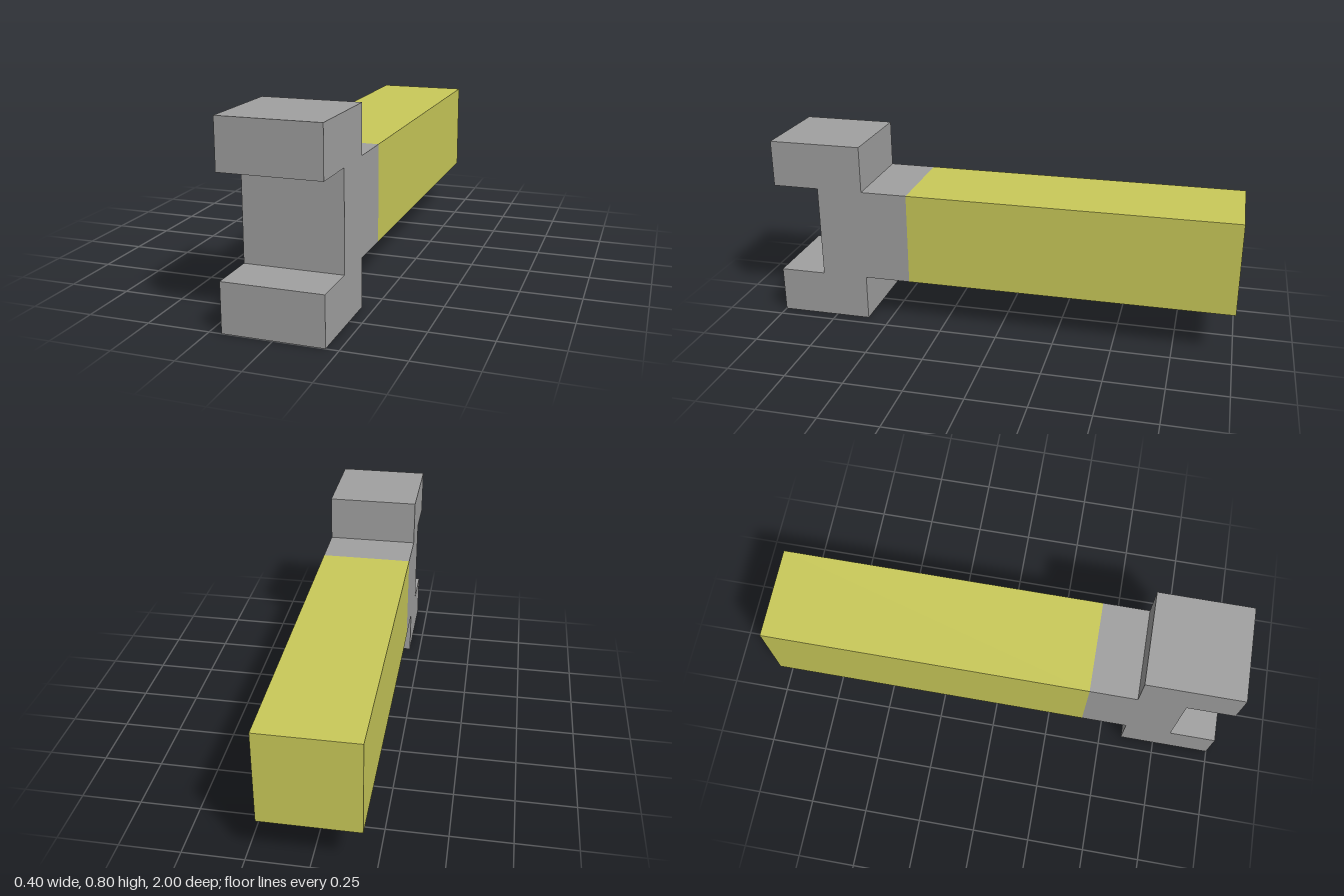
import * as THREE from 'three';

const WIDTH = 0.4;

export function createModel() {
  const group = new THREE.Group();
  const grey = new THREE.MeshStandardMaterial({ name: 'grey metal', color: 0xa0a0a0 });
  const yellow = new THREE.MeshStandardMaterial({ name: 'yellow grip', color: 0xc9c959 });

  // Open-jawed head: side profile as (z, y), extruded across the width
  const profile = [
    [0.4, 0.2], [0.6, 0.2], [0.6, 0], [1, 0], [1, 0.2], [0.8, 0.2],
    [0.8, 0.6], [1, 0.6], [1, 0.8], [0.6, 0.8], [0.6, 0.6], [0.4, 0.6],
  ].map(([z, y]) => new THREE.Vector2(z, y));
  const headGeometry = new THREE.ExtrudeGeometry(new THREE.Shape(profile), {
    depth: WIDTH, bevelEnabled: false,
  });
  headGeometry.translate(0, 0, -WIDTH / 2).rotateY(-Math.PI / 2);
  const head = new THREE.Mesh(headGeometry, grey);
  head.name = 'head';

  // Square handle running to the back
  const handle = new THREE.Mesh(new THREE.BoxGeometry(WIDTH, 0.4, 1.4), yellow);
  handle.name = 'handle';
  handle.position.set(0, 0.4, -0.3);

  group.add(head, handle);
  return group;
}
